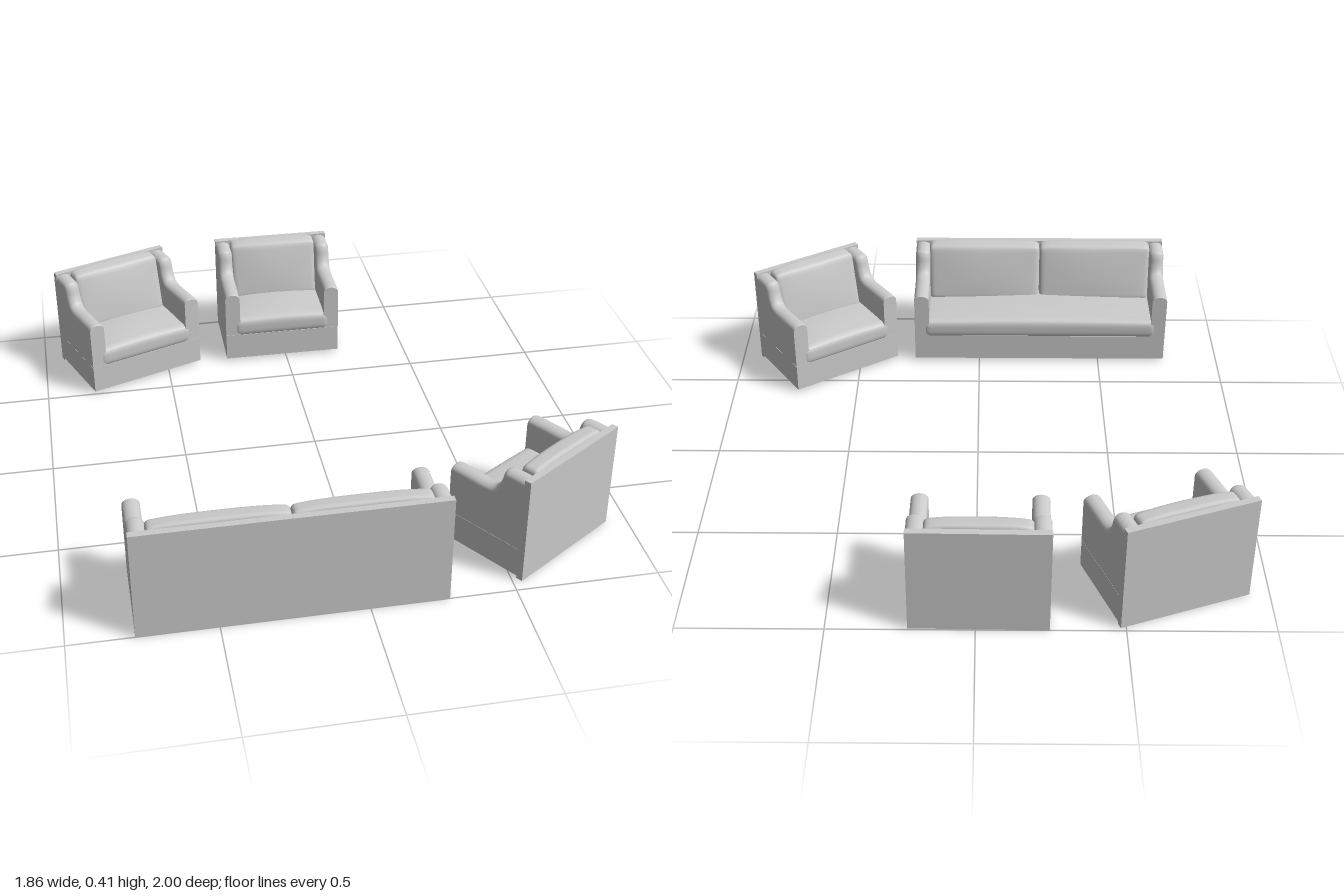
import * as THREE from 'three';
import { mergeVertices } from 'three/addons/utils/BufferGeometryUtils.js';

const material = new THREE.MeshStandardMaterial({ color: 0xcccccc, roughness: 0.8 });
const ARM_W = 0.06, FRONT = 0.165, BACK = -0.17, PANEL = 0.025, SEAM = 0.12;

function add(group, name, geometry, x = 0, y = 0, z = 0) {
  const mesh = new THREE.Mesh(geometry, material);
  mesh.name = name;
  mesh.position.set(x, y, z);
  group.add(mesh);
}

// Soft cushion: a finely divided box with rounded edges, then shaped by a rule
function cushionGeometry(w, h, d, r, shape) {
  const seg = (s) => Math.max(8, Math.round(s / 0.011));
  const geo = new THREE.BoxGeometry(w, h, d, seg(w), seg(h), seg(d));
  geo.deleteAttribute('uv');
  geo.deleteAttribute('normal');
  const pos = geo.attributes.position;
  const p = new THREE.Vector3(), inner = new THREE.Vector3();
  const limit = new THREE.Vector3(w / 2 - r, h / 2 - r, d / 2 - r);
  const low = limit.clone().negate();
  for (let i = 0; i < pos.count; i++) {
    p.fromBufferAttribute(pos, i);
    inner.copy(p).clamp(low, limit);
    p.sub(inner).setLength(r).add(inner);
    shape(p, 2 * p.x / w, 2 * p.y / h, 2 * p.z / d);
    pos.setXYZ(i, p.x, p.y, p.z);
  }
  const merged = mergeVertices(geo, 1e-5);
  merged.computeVertexNormals();
  return merged;
}

// Arm: an arched section swept along a low front that curves up to the back
function armGeometry() {
  const path = new THREE.CatmullRomCurve3([
    [FRONT, 0.306], [0.16, 0.308], [0.08, 0.308], [0, 0.308], [-0.022, 0.317],
    [-0.038, 0.343], [-0.049, 0.38], [-0.06, 0.396], [-0.085, 0.399], [BACK + PANEL, 0.399],
  ].map(([z, y]) => new THREE.Vector3(0, y, z)), false, 'centripetal');
  const stations = 54, arc = 14, drop = 0.022, cols = arc + 3;
  const verts = [], index = [];
  for (let i = 0; i <= stations; i++) {
    const c = path.getPoint(i / stations), t = path.getTangent(i / stations);
    const end = i === 0 || i === stations;
    const ny = end ? 1 : -t.z, nz = end ? 0 : t.y;
    const section = [];
    for (let j = 0; j <= arc; j++) {
      const a = (j / arc - 0.5) * Math.PI, k = drop * (1 - Math.cos(a));
      section.push([Math.sin(a) * ARM_W / 2, c.y - ny * k, c.z - nz * k]);
    }
    section.unshift([-ARM_W / 2, SEAM, section[0][2]]);
    section.push([ARM_W / 2, SEAM, section[arc + 1][2]]);
    verts.push(...section.flat());
  }
  for (let i = 0; i < stations; i++) {
    for (let j = 0; j < cols - 1; j++) {
      const a = i * cols + j, b = a + 1, c = a + cols, d = c + 1;
      index.push(a, b, c, b, d, c);
    }
  }
  // flat front face with its own corners, so its edge stays sharp
  const base = verts.length / 3;
  verts.push(...verts.slice(0, cols * 3));
  for (let j = 1; j < cols - 1; j++) index.push(base, base + j + 1, base + j);
  const geo = new THREE.BufferGeometry();
  geo.setAttribute('position', new THREE.Float32BufferAttribute(verts, 3));
  geo.setIndex(index);
  geo.computeVertexNormals();
  return geo;
}

// Hollow skirt around the base, open underneath
function skirtGeometry(w, z0, z1, h, wall) {
  const rect = (Type, m) => {
    const s = new Type();
    s.moveTo(-w / 2 + m, -z1 + m);
    s.lineTo(w / 2 - m, -z1 + m);
    s.lineTo(w / 2 - m, -z0 - m);
    s.lineTo(-w / 2 + m, -z0 - m);
    s.closePath();
    return s;
  };
  const shape = rect(THREE.Shape, 0);
  shape.holes.push(rect(THREE.Path, wall));
  return new THREE.ExtrudeGeometry(shape, { depth: h, bevelEnabled: false }).rotateX(-Math.PI / 2);
}

// One upholstered seat facing +z, with any number of back cushions
function createSeat(name, width, backCushions) {
  const group = new THREE.Group();
  group.name = name;
  const inside = width - 2 * ARM_W, panelFront = BACK + PANEL;

  add(group, 'baseSkirt', skirtGeometry(width, panelFront, FRONT, SEAM - 0.011, 0.004), 0, 0.01, 0);
  add(group, 'baseFloor', new THREE.BoxGeometry(width - 0.004, 0.041, FRONT - panelFront - 0.004),
    0, 0.0985, (FRONT + panelFront) / 2);
  add(group, 'backPanel', new THREE.BoxGeometry(width, 0.404, PANEL), 0, 0.202, BACK + PANEL / 2);

  const arm = armGeometry();
  for (const side of [-1, 1]) {
    add(group, side < 0 ? 'rightArm' : 'leftArm', arm, side * (width - ARM_W) / 2, 0, 0);
  }

  // crowned seat cushion, tucked under the arms and into the base
  const seatFront = 0.168, seatDepth = seatFront - panelFront;
  add(group, 'seatCushion', cushionGeometry(inside + 0.05, 0.08, seatDepth, 0.022, (p, u, v, t) => {
    if (v > 0) p.y += 0.016 * v * (1 - u * u) * (1 - 0.7 * t * t);
    else p.z -= 0.006 * v * v * Math.max(t, 0);
  }), 0, SEAM + 0.027, (seatFront + panelFront) / 2);

  // leaning back cushions, thicker toward the seat
  const cw = (inside + 0.006) / backCushions, ch = 0.226, cd = 0.09;
  const back = cushionGeometry(cw - 0.001, ch, cd, 0.016, (p, u, v, t) => {
    const front = (t + 1) / 2;
    p.z += front * (-0.026 * v - 0.006 + 0.015 * (1 - u * u) * (1 - 0.5 * v * v));
    if (v > 0) p.y += 0.012 * v * (1 - u ** 4) * (1 - 0.5 * front);
  });
  for (let i = 0; i < backCushions; i++) {
    add(group, 'backCushion', back, (i - (backCushions - 1) / 2) * cw, 0.178 + ch / 2, panelFront + cd / 2);
  }
  return group;
}

export function createModel() {
  const model = new THREE.Group();
  model.name = 'loungeSet';
  const place = (seat, x, z, turn) => {
    seat.position.set(x, 0, z);
    seat.rotation.y = turn;
    model.add(seat);
  };
  place(createSeat('sofa', 1.045, 2), -0.2525, 0.83, Math.PI);
  place(createSeat('rearArmchair', 0.472, 1), -0.0125, -0.827, -0.012);
  place(createSeat('rearRightArmchair', 0.48, 1), -0.6455, -0.7425, 0.365);
  place(createSeat('frontLeftArmchair', 0.475, 1), 0.634, 0.684, -2.55);
  return model;
}
